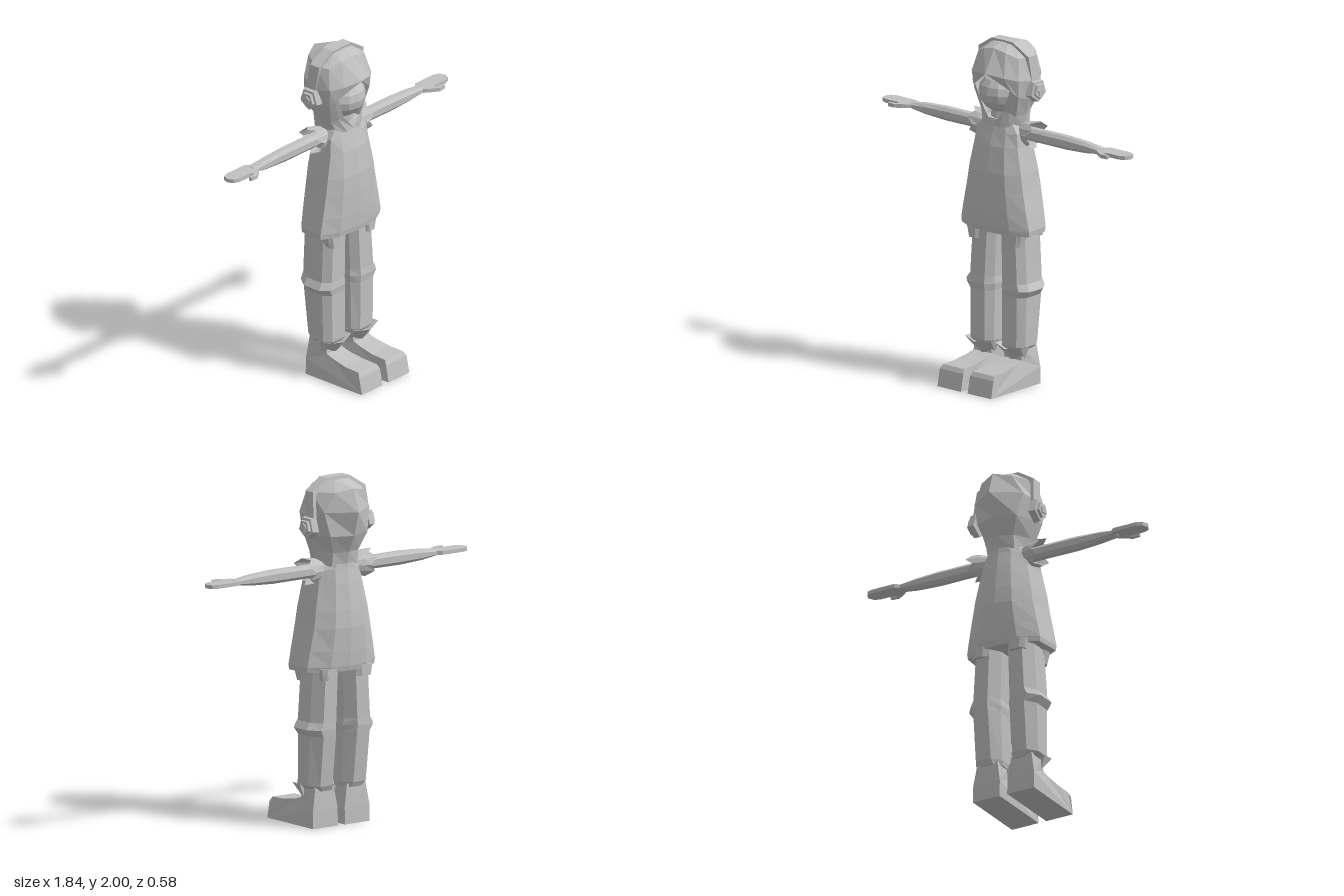
import * as THREE from 'three';

const cloth = new THREE.MeshStandardMaterial({ color: 0xc0c0c0, flatShading: true, side: THREE.DoubleSide });
cloth.name = 'plain grey';

function part(name, geo, parent) {
  const g = geo.index ? geo.toNonIndexed() : geo;
  g.computeVertexNormals();
  const m = new THREE.Mesh(g, cloth);
  m.name = name;
  parent.add(m);
  return m;
}

// Skin a stack of closed rings; skip(i, j) leaves a quad out.
function loft(rings, capStart = true, capEnd = true, skip = () => false) {
  const v = [], n = rings[0].length;
  const mid = r => r.reduce((s, p) => s.map((c, k) => c + p[k] / n), [0, 0, 0]);
  rings.forEach((r, i) => {
    const up = rings[i + 1];
    for (let j = 0; j < n; j++) {
      const k = (j + 1) % n;
      if (up && !skip(i, j)) v.push(...r[j], ...up[j], ...up[k], ...r[j], ...up[k], ...r[k]);
      if (i === 0 && capStart) v.push(...r[j], ...r[k], ...mid(r));
      if (!up && capEnd) v.push(...r[k], ...r[j], ...mid(r));
    }
  });
  const g = new THREE.BufferGeometry();
  g.setAttribute('position', new THREE.Float32BufferAttribute(v, 3));
  return g;
}

// Half ring (back to front, on +x) completed by its mirror image.
const whole = half => [...half, ...half.slice().reverse().map(([x, y, z]) => [-x, y, z])];

// Upright block with cut corners, from rows of [y, inner x, outer x, front z, back z].
function column(rows) {
  return loft(rows.map(([y, a, b, f, k]) => {
    const w = b - a, d = f - k;
    return [[a + w * .25, y, k], [b - w * .25, y, k], [b, y, k + d * .3], [b, y, f - d * .2],
      [b - w * .2, y, f], [a + w * .2, y, f], [a, y, f - d * .2], [a, y, k + d * .3]];
  }));
}

function extrude(points, depth) {
  const s = new THREE.Shape(points.map(p => new THREE.Vector2(...p)));
  return new THREE.ExtrudeGeometry(s, { depth, bevelEnabled: false });
}

function buildHead(root) {
  const rows = [
    [[0, 1.5, -.18], [.09, 1.5, -.16], [.13, 1.5, -.07], [.1, 1.51, .02], [.05, 1.51, .05], [0, 1.52, .055]],
    [[0, 1.58, -.2], [.09, 1.58, -.17], [.145, 1.58, -.07], [.13, 1.58, 0], [.1, 1.6, .03], [.075, 1.61, .045]],
    [[0, 1.68, -.25], [.13, 1.68, -.2], [.18, 1.68, -.06], [.165, 1.7, .02], [.145, 1.73, .045], [.13, 1.74, .055]],
    [[0, 1.82, -.29], [.16, 1.82, -.18], [.195, 1.79, -.06], [.175, 1.8, .03], [.11, 1.815, .08], [0, 1.83, .115]],
    [[0, 1.95, -.245], [.1, 1.93, -.2], [.175, 1.925, -.08], [.15, 1.92, .0], [.08, 1.95, .035], [0, 1.965, .04]],
    [[0, 1.99, -.13], [.05, 1.985, -.13], [.09, 1.98, -.08], [.08, 1.98, -.04], [.05, 1.985, -.02], [0, 1.99, -.015]],
  ].map(whole);
  part('hood', loft(rows, false, true, (i, j) => j === 5), root);

  const face = part('face', new THREE.SphereGeometry(1, 12, 8), root);
  face.scale.set(.135, .115, .12);
  face.position.set(0, 1.7, -.02);
  part('neck', new THREE.CylinderGeometry(.075, .09, .2, 8), root).position.set(0, 1.56, -.06);

  // Band running over the hood, leaning back towards the ears
  const outer = [[.2, 1.76], [.187, 1.93], [.08, 1.998], [0, 2]];
  const inner = outer.map(([x, y]) => [x * .9, y - .025]);
  const arc = h => [...h, ...h.slice(0, -1).reverse().map(([x, y]) => [-x, y])];
  const band = extrude([...arc(outer), ...arc(inner).reverse()], .07);
  const p = band.attributes.position;
  for (let i = 0; i < p.count; i++) p.setZ(i, p.getZ(i) - .1 - (2 - p.getY(i)) * .14);
  part('headBand', band, root);
}

function buildTunic(root) {
  // [y, half width, front z, back z]
  const rows = [[.9, .25, .095, -.205], [.93, .253, .1, -.212], [1.02, .235, .105, -.22], [1.15, .208, .105, -.227],
    [1.25, .192, .1, -.22], [1.4, .16, .075, -.2], [1.48, .15, .05, -.185], [1.55, .1, .03, -.18]];
  part('tunic', loft(rows.map(([y, w, f, b]) => whole([[0, y, b], [w * .5, y, b + .015], [w * .95, y, b * .6],
    [w, y, f * .3], [w * .6, y, f * .85], [0, y, f]]))), root);
}

function buildSide(side) {
  // Headphone: stepped five-sided cup
  [[.072, .2, .04], [.05, .222, .03], [.028, .236, .016]].forEach(([r, x, h], i) => {
    const g = new THREE.CylinderGeometry(r * .9, r, h, 5);
    g.rotateY(i === 2 ? -Math.PI / 2 : Math.PI / 2);
    g.rotateZ(-Math.PI / 2);
    g.translate(x, 1.73, -.09);
    part('earCup', g, side);
  });

  // Arm and flat mitten hand
  const arm = [[.1, .036, .036], [.45, .038, .034], [.6, .03, .034], [.72, .014, .032]];
  part('arm', loft(arm.map(([x, h, d]) => [[1, .5], [.5, 1], [-.5, 1], [-1, .5], [-1, -.5], [-.5, -1], [.5, -1], [1, -.5]]
    .map(([z, y]) => [x, 1.473 + y * h, -.075 + z * d]))), side);
  const hand = extrude([[.69, -.1], [.72, -.128], [.87, -.128], [.905, -.115], [.92, -.08], [.905, -.045], [.87, -.03],
    [.78, -.03], [.76, -.01], [.82, -.003], [.815, .012], [.77, .015], [.71, -.025], [.69, -.045]], .022);
  hand.rotateX(Math.PI / 2);
  hand.translate(0, 1.485, 0);
  part('hand', hand, side);

  // Short ragged sleeve
  const sleeve = [[.1, .05, 0], [.16, .07, 0], [.205, .08, .03]].map(([x, r, jag]) =>
    Array.from({ length: 12 }, (_, i) => {
      const a = i * Math.PI / 6;
      return [x + (i % 2 ? jag : -jag * .4) + Math.sin(a) * jag * .5, 1.475 + Math.sin(a) * r, -.075 + Math.cos(a) * r];
    }));
  part('sleeve', loft(sleeve, false, false), side);

  // Trouser leg with knee crease, pockets under the hem
  part('trouserLeg', column([[.21, .035, .17, .03, -.13], [.24, .03, .205, .045, -.145], [.53, .03, .208, .045, -.178],
    [.57, .025, .236, .05, -.182], [.61, .03, .21, .045, -.18], [.93, .02, .19, .04, -.18]]), side);
  part('frontPocket', column([[.83, .115, .185, .057, -.03], [.92, .1, .21, .06, -.04]]), side);
  part('backPocket', column([[.855, .07, .17, -.14, -.2], [.92, .06, .18, -.14, -.2]]), side);

  // Trouser cuff flaring over the shoe
  part('cuff', loft([[.15, .05, .175, .005], [.24, .015, .21, .08], [.225, .03, .2, .04]].map(([y, a, b, f]) =>
    [[a, y, -.02], [b, y, -.02], [b, y + .005, f - .03], [(a + b) / 2, y - .01, f], [a, y + .005, f - .03]])), side);

  // Shoe, narrower towards the ankle
  const shoe = extrude([[-.295, 0], [.13, 0], [.128, .1], [.12, .23], [0, .23], [-.01, .16], [-.06, .145],
    [-.16, .128], [-.26, .125], [-.275, .1]], .175);
  shoe.rotateY(Math.PI / 2);
  shoe.translate(.025, 0, 0);
  const p = shoe.attributes.position;
  for (let i = 0; i < p.count; i++) {
    const t = THREE.MathUtils.clamp((p.getY(i) - .1) / .05, 0, 1);
    p.setX(i, .1125 + (p.getX(i) - .1125) * (1 - t * .25));
  }
  // Sole runs from the heel at the back to the toe at the front
  shoe.computeBoundingBox();
  if (shoe.boundingBox.max.z < .2) {
    shoe.translate(-.1125, 0, 0);
    shoe.rotateY(Math.PI);
    shoe.translate(.1125, 0, 0);
  }
  part('shoe', shoe, side);
}

export function createModel() {
  const root = new THREE.Group();
  root.name = 'hoodedFigure';
  buildHead(root);
  buildTunic(root);
  for (const s of [1, -1]) {
    const side = new THREE.Group();
    side.name = s > 0 ? 'leftSide' : 'rightSide';
    buildSide(side);
    side.scale.x = s;
    root.add(side);
  }
  return root;
}
